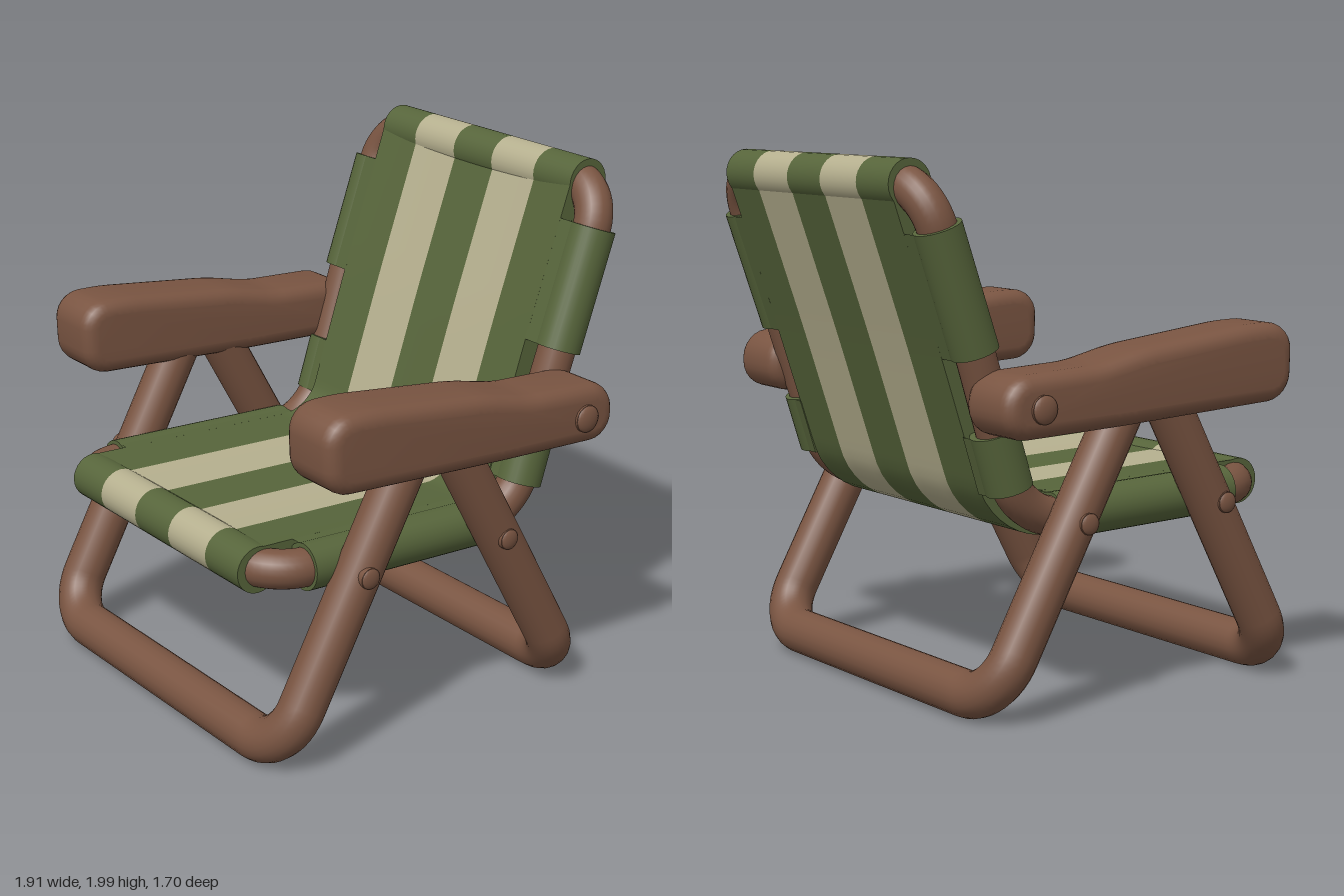
import * as THREE from 'three';
import { toCreasedNormals } from 'three/addons/utils/BufferGeometryUtils.js';
import { ParametricGeometry } from 'three/addons/geometries/ParametricGeometry.js';

const V = (x, y, z) => new THREE.Vector3(x, y, z);

const material = (name, color, side = THREE.FrontSide) => {
  const m = new THREE.MeshStandardMaterial({ color, side });
  m.name = name;
  return m;
};

// Polyline with rounded corners; trim is how much of each side a corner uses
function roundedPath(points, trim, closed = false) {
  const path = new THREE.CurvePath();
  const n = points.length;
  const corners = points.map((p, i) => {
    if (!closed && (i === 0 || i === n - 1)) return { a: p, b: p };
    const prev = points[(i + n - 1) % n], next = points[(i + 1) % n];
    const t = Array.isArray(trim) ? trim[i] : trim;
    const toward = (q, d) => p.clone().add(q.clone().sub(p).setLength(d));
    return { a: toward(prev, t), c1: toward(prev, t * 0.45), c2: toward(next, t * 0.45), b: toward(next, t) };
  });
  corners.forEach((c, i) => {
    if (c.c1) path.add(new THREE.CubicBezierCurve3(c.a, c.c1, c.c2, c.b));
    if (closed || i < n - 1) path.add(new THREE.LineCurve3(c.b, corners[(i + 1) % n].a));
  });
  return path;
}

// Cloth passing over and under the frame along a side path, from x0 to x1;
// the upper layer sags toward the middle of the chair
function cloth(path, x0, x1, slices) {
  const upper = [], lower = [];
  for (let i = 0; i <= 4; i++) {
    const x = x0 + (x1 - x0) * i / 4;
    upper.unshift([x, 0.066 + 0.017 * Math.min(1, (x / 0.57) ** 2)]);
    lower.push([x, -0.081]);
  }
  const ring = [...upper, ...lower, upper[0]];
  const stacks = ring.length - 1;
  const geo = new ParametricGeometry((u, v, target) => {
    const p = path.getPoint(u), d = path.getTangent(u);
    const [x, offset] = ring[Math.round(v * stacks)];
    target.set(x, p.y - d.z * offset, p.z + d.y * offset);
  }, slices, stacks);
  return toCreasedNormals(geo, 0.7);
}

// Cylinder between two points
function rod(a, b, radius) {
  const dir = b.clone().sub(a);
  const geo = new THREE.CylinderGeometry(radius, radius, dir.length(), 28);
  geo.applyQuaternion(new THREE.Quaternion().setFromUnitVectors(V(0, 1, 0), dir.normalize()));
  const mid = a.clone().add(b).multiplyScalar(0.5);
  return geo.translate(mid.x, mid.y, mid.z);
}

// Armrest: side outline extruded across x with soft edges
function armrestGeometry() {
  const outline = roundedPath([
    [0.63, 1.145], [0.635, 1.325], [0.5, 1.325], [0.0, 1.27], [-0.2, 1.225],
    [-0.55, 1.21], [-0.555, 1.095], [-0.1, 1.11],
  ].map(([z, y]) => V(0, y, z)).reverse(), 0.05, true).getPoints(6).slice(0, -1);
  const bevel = 0.055, width = 0.276;
  const shape = new THREE.Shape(outline.map((p) => new THREE.Vector2(p.z, p.y)));
  const geo = new THREE.ExtrudeGeometry(shape, {
    depth: width - 2 * bevel, bevelSize: bevel, bevelThickness: bevel, bevelSegments: 5,
  });
  geo.rotateY(-Math.PI / 2).translate(width / 2 - bevel, 0, 0);
  return toCreasedNormals(geo, 0.7);
}

export function createModel() {
  const model = new THREE.Group();
  model.name = 'foldingChair';
  const wood = material('brownWood', 0x7a5542);
  const green = material('greenCloth', 0x57653b, THREE.DoubleSide);
  const cream = material('creamCloth', 0xb6b08f, THREE.DoubleSide);

  const add = (name, geo, mat, parent = model) => {
    const mesh = new THREE.Mesh(geo, mat);
    mesh.name = name;
    parent.add(mesh);
    return mesh;
  };

  // U-shaped legs
  const leg = (name, topZ, footZ) => {
    const path = roundedPath([
      V(-0.75, 1.17, topZ), V(-0.75, 0.094, footZ), V(0.75, 0.094, footZ), V(0.75, 1.17, topZ),
    ], 0.175);
    add(name, new THREE.TubeGeometry(path, 160, 0.086, 20), wood);
  };
  leg('frontLeg', 0.186, 0.765);
  leg('rearLeg', 0.055, -0.54);

  // Bent seat and back frame, one closed loop
  const side = [V(0.635, 0.735, 0.737), V(0.635, 0.705, -0.35), V(0.655, 1.34, -0.56), V(0.65, 1.91, -0.76)];
  const mirrored = side.map((p) => V(-p.x, p.y, p.z)).reverse();
  const trims = [0.16, 0.17, 0.1, 0.16];
  const loop = roundedPath([...side, ...mirrored], [...trims, ...trims.slice().reverse()], true);
  add('seatFrame', new THREE.TubeGeometry(loop, 320, 0.072, 20, true), wood);

  const arm = armrestGeometry();
  for (const s of [1, -1]) {
    const label = s > 0 ? 'left' : 'right';
    add(label + 'Armrest', arm, wood).position.x = s * 0.793;

    // Pivot bolts
    const bolt = (name, y, z, r, x0, x1) => {
      add(label + name, rod(V(s * x0, y, z), V(s * (x1 - 0.015), y, z), r), wood);
      const cap = new THREE.SphereGeometry(r, 20, 12).scale(0.4, 1, 1);
      add(label + name + 'Cap', cap, wood).position.set(s * (x1 - 0.02), y, z);
    };
    bolt('ArmBolt', 1.15, -0.46, 0.052, 0.66, 0.955);
    bolt('FrontLegBolt', 0.72, 0.445, 0.04, 0.64, 0.855);
    bolt('RearLegBolt', 0.71, -0.19, 0.04, 0.64, 0.855);

    // Cloth sleeves around the frame, each with a flap joining the sling
    const sleeve = (name, a, b, x) => {
      add(label + name, rod(V(s * x, a[1], a[0]), V(s * x, b[1], b[0]), 0.088), green);
      const path = roundedPath([V(0, a[1], a[0]), V(0, b[1], b[0])], 0);
      const [x0, x1] = [s * 0.56, s * 0.64].sort((p, q) => p - q);
      add(label + name + 'Flap', cloth(path, x0, x1, 4), green);
    };
    sleeve('SeatSleeve', [0.59, 0.731], [-0.21, 0.709], 0.632);
    sleeve('LowerBackSleeve', [-0.397, 0.83], [-0.464, 1.04], 0.638);
    sleeve('UpperBackSleeve', [-0.555, 1.325], [-0.709, 1.765], 0.655);
  }

  // Striped sling, turned around the front and top rails
  const sling = roundedPath(side.map((p) => V(0, p.y, p.z)), trims);
  const edges = [-0.565, -0.358, -0.115, 0.113, 0.358, 0.565];
  for (let i = 0; i < 5; i++) {
    const [x0, x1] = [edges[i], edges[i + 1]];
    const mat = i % 2 ? cream : green;
    const stripe = new THREE.Group();
    stripe.name = 'slingStripe' + (i + 1);
    add('cloth', cloth(sling, x0, x1, 64), mat, stripe);
    add('frontHem', rod(V(x0, 0.733, 0.735), V(x1, 0.733, 0.735), 0.088), mat, stripe);
    add('topHem', rod(V(x0, 1.909, -0.76), V(x1, 1.909, -0.76), 0.088), mat, stripe);
    model.add(stripe);
  }

  return model;
}
